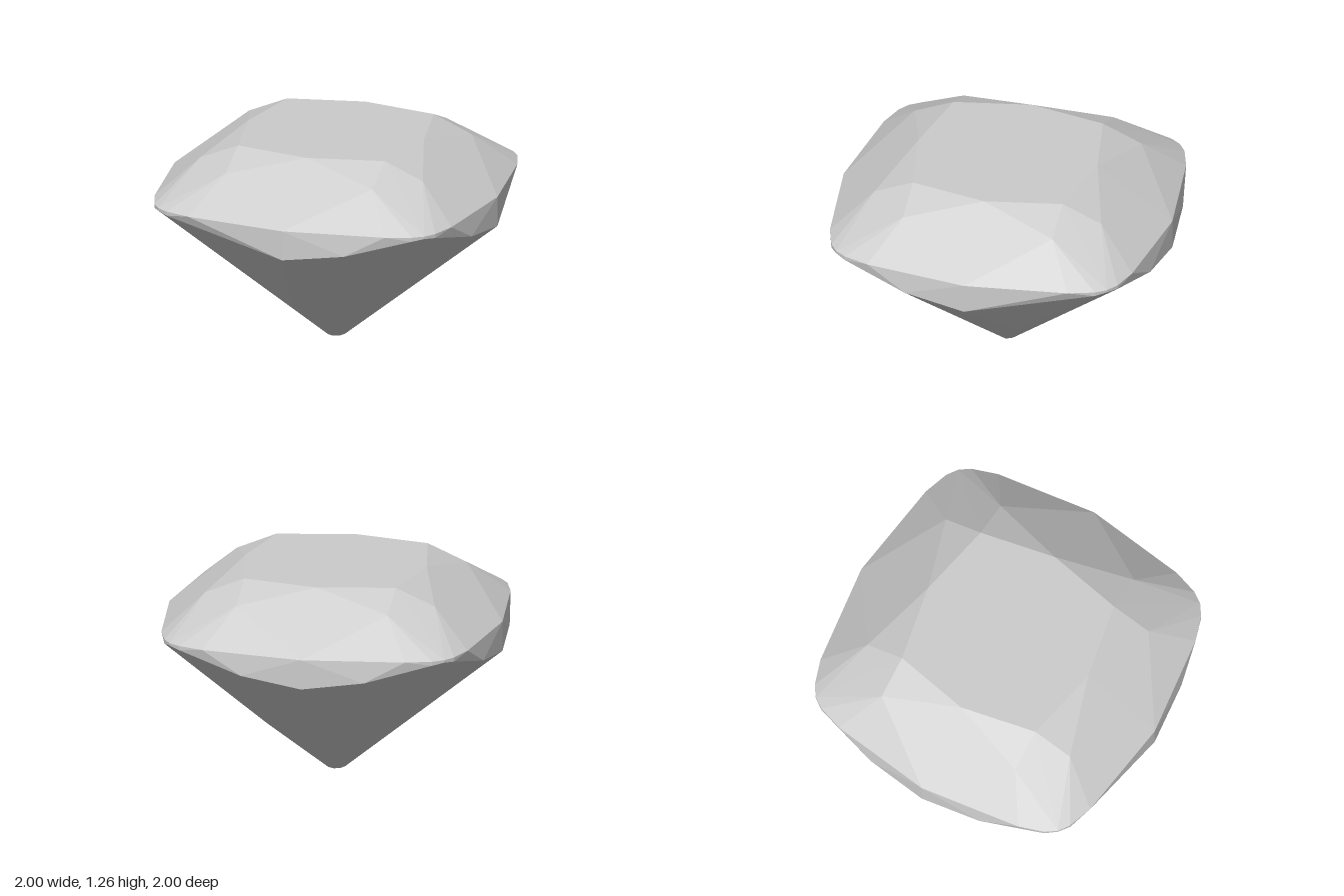
import * as THREE from 'three';
import { ConvexGeometry } from 'three/addons/geometries/ConvexGeometry.js';

// Cushion-cut gemstone: rings of facet corners, closed into one convex solid.
export function createModel() {
  const group = new THREE.Group();
  group.name = 'cushionCutGem';
  const points = [];

  // Repeats a point on all four sides by quarter turns about y.
  const four = (x, y, z) => {
    for (let i = 0; i < 4; i++) {
      points.push(new THREE.Vector3(x, y, z));
      [x, z] = [z, -x];
    }
  };
  // Repeats a point on all four sides with its mirror image.
  const eight = (x, y, z) => {
    four(x, y, z);
    four(-x, y, z);
  };

  // Table: flat octagon on top
  four(0, 1.26, 0.545);
  four(0.455, 1.26, 0.455);

  // Crown: corners of the star and bezel facets
  eight(0.455, 1.16, 0.69);

  // Girdle, upper edge
  four(0, 0.95, 1);
  eight(0.61, 0.95, 0.92);
  eight(0.76, 0.95, 0.87);
  four(0.825, 0.95, 0.825);

  // Girdle, lower edge: dips at the middle of each side
  four(0, 0.77, 1);
  eight(0.76, 0.925, 0.87);
  four(0.825, 0.935, 0.825);
  const dips = [[0.37, 0.965], [0.965, 0.37], [0.37, -0.965], [-0.37, -0.965], [-0.965, 0.37], [-0.965, -0.37]];
  for (const [x, z] of dips) points.push(new THREE.Vector3(x, 0.82, z));

  // Pavilion: extra facet corners on the front and right sides
  points.push(new THREE.Vector3(-0.15, 0.28, 0.38), new THREE.Vector3(0.38, 0.28, -0.15));

  // Culet: tiny octagon at the foot
  four(0, 0, 0.055);
  four(0.037, 0, 0.037);

  const gem = new THREE.Mesh(
    new ConvexGeometry(points),
    new THREE.MeshStandardMaterial({ color: 0xcccccc, flatShading: true })
  );
  gem.name = 'gemstone';
  group.add(gem);
  return group;
}
